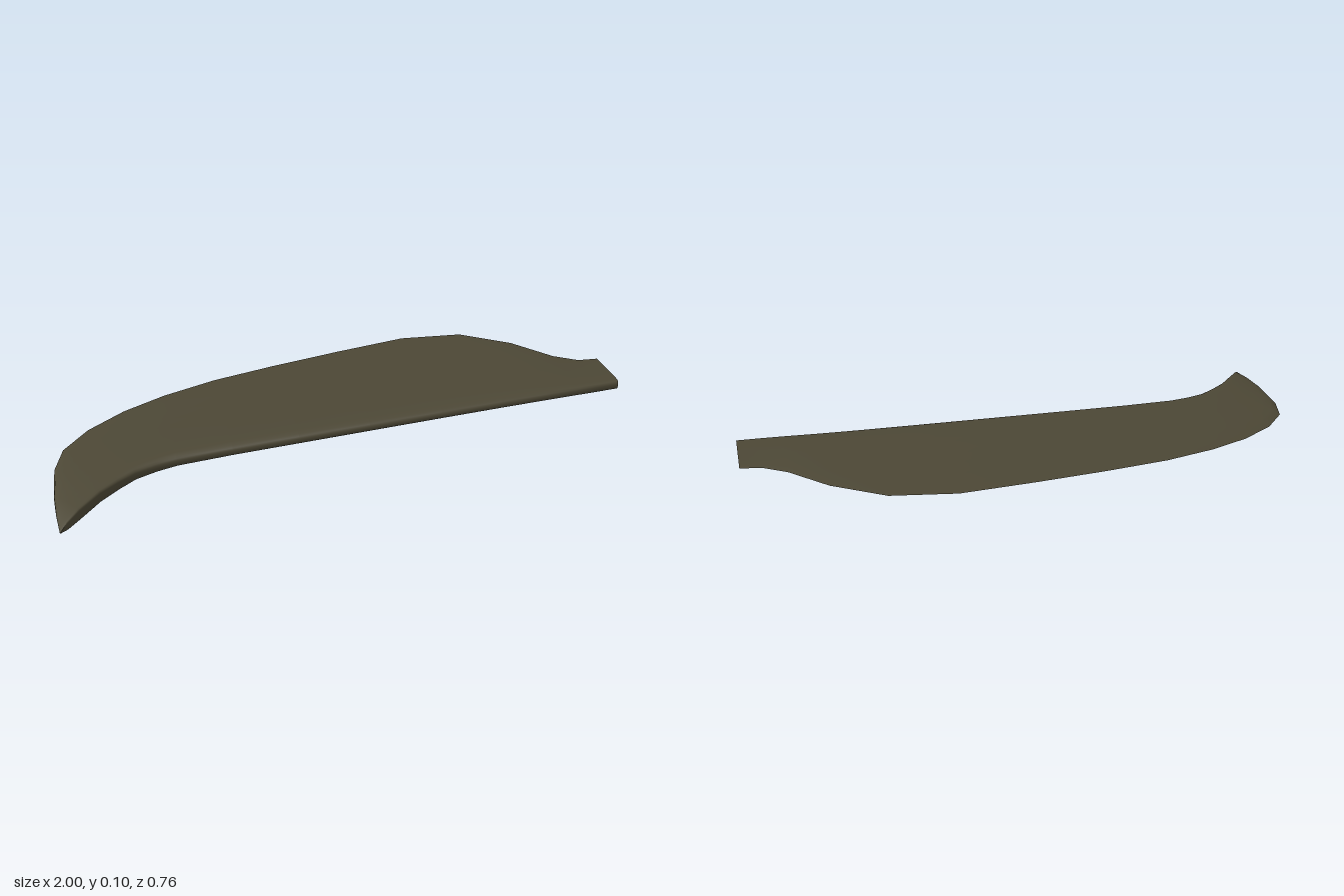
import * as THREE from 'three';

// Stations from root to tip: front x, front z, back x, back z, half thickness, edge fullness
const stations = [
  [1, .132, 1, -.05, .0185, 0],
  [.93, .132, .93, -.06, .0188, 0],
  [.85, .132, .85, -.11, .019, 0],
  [.73, .132, .73, -.235, .0192, 0],
  [.56, .132, .56, -.345, .0195, 0],
  [.34, .132, .34, -.38, .02, 0],
  [.08, .132, .08, -.36, .0205, 0],
  [-.17, .132, -.17, -.335, .021, 0],
  [-.4, .132, -.4, -.305, .0215, 0],
  [-.59, .136, -.59, -.26, .022, .05],
  [-.66, .147, -.74, -.205, .0225, .1],
  [-.73, .166, -.87, -.13, .023, .2],
  [-.79, .2, -.96, -.04, .0235, .35],
  [-.85, .24, -.993, .06, .0235, .5],
  [-.92, .307, -1, .2, .022, .6],
  [-.962, .352, -.996, .29, .015, .6],
  [-.985, .376, -.988, .372, .002, .6],
];

// Section: chord fraction from the front edge, height above, depth below
const section = [
  [0, 0, 0], [.004, .4, .4], [.014, .68, .68], [.035, .9, .88], [.08, 1, 1], [.16, .97, 1],
  [.3, .85, .95], [.45, .68, .88], [.6, .5, .78], [.75, .35, .62], [.88, .2, .38], [.96, .08, .15], [1, 0, 0],
];

// Loop from the back edge over the top, round the nose and back below
const loop = [
  ...section.slice().reverse().map(([u, top]) => [u, top]),
  ...section.slice(1).map(([u, , below]) => [u, -below]),
];

function loftBlade() {
  const positions = [], indices = [], n = loop.length;
  for (const [fx, fz, bx, bz, half, full] of stations) {
    for (const [u, v] of loop) {
      const x = fx + (bx - fx) * u;
      const z = fz + (bz - fz) * u;
      // the blade rises steadily towards the root
      const mid = .052 + .029 * x - .004 * u * (1 - full);
      const h = Math.sign(v) * Math.pow(Math.abs(v), 1 - full);
      positions.push(x, mid + h * half, z);
    }
  }
  for (let i = 0; i < stations.length - 1; i++) {
    for (let j = 0; j < n - 1; j++) {
      const a = i * n + j, b = a + n;
      indices.push(a, b, a + 1, b, b + 1, a + 1);
    }
  }
  // close the small tip
  const last = (stations.length - 1) * n;
  for (let j = 1; j < n - 2; j++) indices.push(last, last + j + 1, last + j);
  const geometry = new THREE.BufferGeometry();
  geometry.setAttribute('position', new THREE.Float32BufferAttribute(positions, 3));
  geometry.setIndex(indices);
  geometry.computeVertexNormals();
  return geometry;
}

export function createModel() {
  const group = new THREE.Group();
  group.name = 'wing';
  const olive = new THREE.MeshStandardMaterial({ color: 0x4c4735, side: THREE.DoubleSide });
  olive.name = 'dark olive';
  // one smooth skin, open at the root
  const skin = new THREE.Mesh(loftBlade(), olive);
  skin.name = 'wingSkin';
  group.add(skin);
  return group;
}
